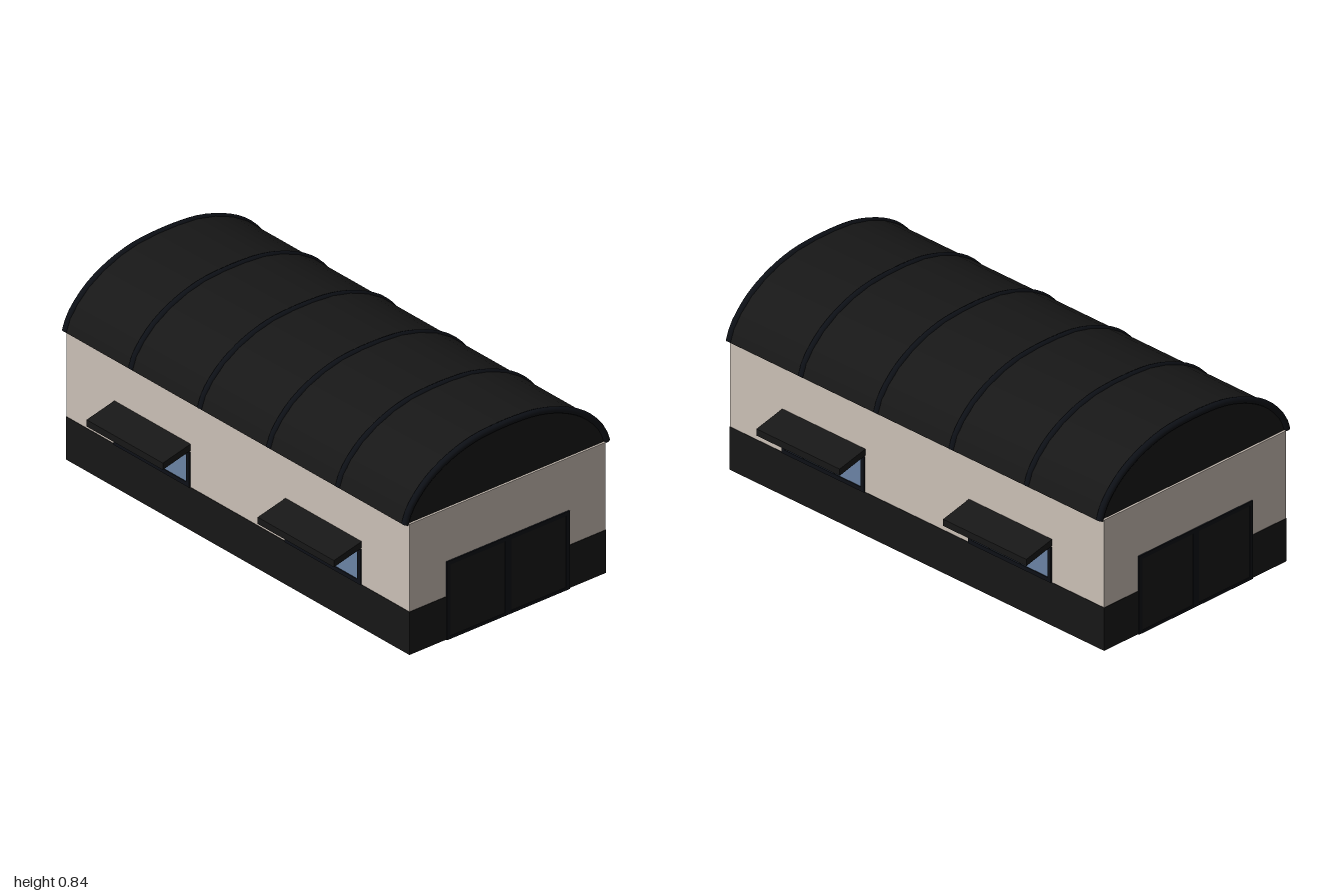
import * as THREE from 'three';
import { toCreasedNormals } from 'three/addons/utils/BufferGeometryUtils.js';

const mat = (color) => new THREE.MeshStandardMaterial({ color });
const EAVE = 0.565;
// Half of the vault outline, from eave to crown: [z, y]
const HALF = [[0.515, 0.565], [0.495, 0.62], [0.457, 0.672], [0.4, 0.726],
  [0.325, 0.772], [0.238, 0.807], [0.15, 0.828], [0.05, 0.836]];

// Full vault outline, shrunk by d
function vault(d) {
  const half = HALF.map(([z, y]) => [z * (1 - d / 0.515), EAVE + (y - EAVE) * (1 - d / 0.271)]);
  return [...half, ...half.map(([z, y]) => [-z, y]).reverse()];
}

export function createModel() {
  const model = new THREE.Group();
  const wallMat = mat(0xcbc0b6), dark = mat(0x171717), trim = mat(0x0d1016), glassMat = mat(0x6b83a5);

  const add = (parent, name, geometry, material) => {
    const mesh = new THREE.Mesh(geometry, material);
    mesh.name = name;
    parent.add(mesh);
    return mesh;
  };
  const box = (parent, name, material, w, h, d, x, y, z) => {
    const mesh = add(parent, name, new THREE.BoxGeometry(w, h, d), material);
    mesh.position.set(x, y, z);
    return mesh;
  };
  // Rectangular frame in the xy plane, standing on y = 0, with openings [x0, y0, x1, y1]
  const frame = (parent, name, w, h, depth, openings) => {
    const rect = (p, x0, y0, x1, y1) =>
      p.moveTo(x0, y0).lineTo(x1, y0).lineTo(x1, y1).lineTo(x0, y1).closePath();
    const shape = rect(new THREE.Shape(), -w / 2, 0, w / 2, h);
    shape.holes = openings.map((o) => rect(new THREE.Path(), ...o));
    return add(parent, name, new THREE.ExtrudeGeometry(shape, { depth, bevelEnabled: false }), trim);
  };

  // Walls and plinth
  box(model, 'walls', wallMat, 1.988, EAVE, 0.974, 0, EAVE / 2, 0);
  box(model, 'plinth', dark, 1.992, 0.185, 0.978, 0, 0.0945, 0);

  // Barrel roof
  const section = new THREE.Shape(vault(0.008).map(([z, y]) => new THREE.Vector2(z, y)));
  const roof = new THREE.ExtrudeGeometry(section, { depth: 1.97, bevelEnabled: false });
  roof.translate(0, 0, -0.985).rotateY(Math.PI / 2);
  add(model, 'roof', toCreasedNormals(roof, 0.5), dark);

  // Roof ribs
  const path = new THREE.CatmullRomCurve3(vault(0.014).map(([z, y]) => new THREE.Vector3(0, y, z)));
  const ribGeometry = new THREE.TubeGeometry(path, 30, 0.014, 8);
  const ribMat = mat(0x0d1016);
  ribMat.side = THREE.DoubleSide;
  for (const x of [-0.984, -0.6, -0.2, 0.2, 0.6, 0.984]) {
    add(model, 'roofRib', ribGeometry, ribMat).position.x = x;
  }

  // Windows with sloping awnings, two on each long side
  const awningShape = new THREE.Shape([[0.48, 0.347], [0.625, 0.312], [0.625, 0.341], [0.48, 0.375]]
    .map(([z, y]) => new THREE.Vector2(-z, y)));
  const awningGeometry = new THREE.ExtrudeGeometry(awningShape, { depth: 0.442, bevelEnabled: false });
  awningGeometry.translate(0, 0, -0.221).rotateY(Math.PI / 2);
  for (const turn of [0, Math.PI]) {
    const side = new THREE.Group();
    side.name = 'longSide';
    side.rotation.y = turn;
    model.add(side);
    for (const x of [-0.496, 0.496]) {
      const win = new THREE.Group();
      win.name = 'window';
      win.position.x = x;
      side.add(win);
      frame(win, 'windowFrame', 0.44, 0.153, 0.013, [[-0.202, 0.018, 0.202, 0.135]])
        .position.set(0, 0.186, 0.48);
      box(win, 'windowGlass', glassMat, 0.41, 0.125, 0.01, 0, 0.262, 0.484);
      add(win, 'awning', awningGeometry, dark);
    }
  }

  // Double doors on both ends
  for (const turn of [Math.PI / 2, -Math.PI / 2]) {
    const end = new THREE.Group();
    end.name = 'doors';
    end.rotation.y = turn;
    model.add(end);
    frame(end, 'doorFrame', 0.61, 0.338, 0.01,
      [[-0.288, 0.012, -0.014, 0.321], [0.014, 0.012, 0.288, 0.321]]).position.z = 0.99;
    for (const x of [-0.151, 0.151]) {
      box(end, 'doorLeaf', dark, 0.28, 0.315, 0.01, x, 0.166, 0.9925);
    }
  }
  return model;
}
